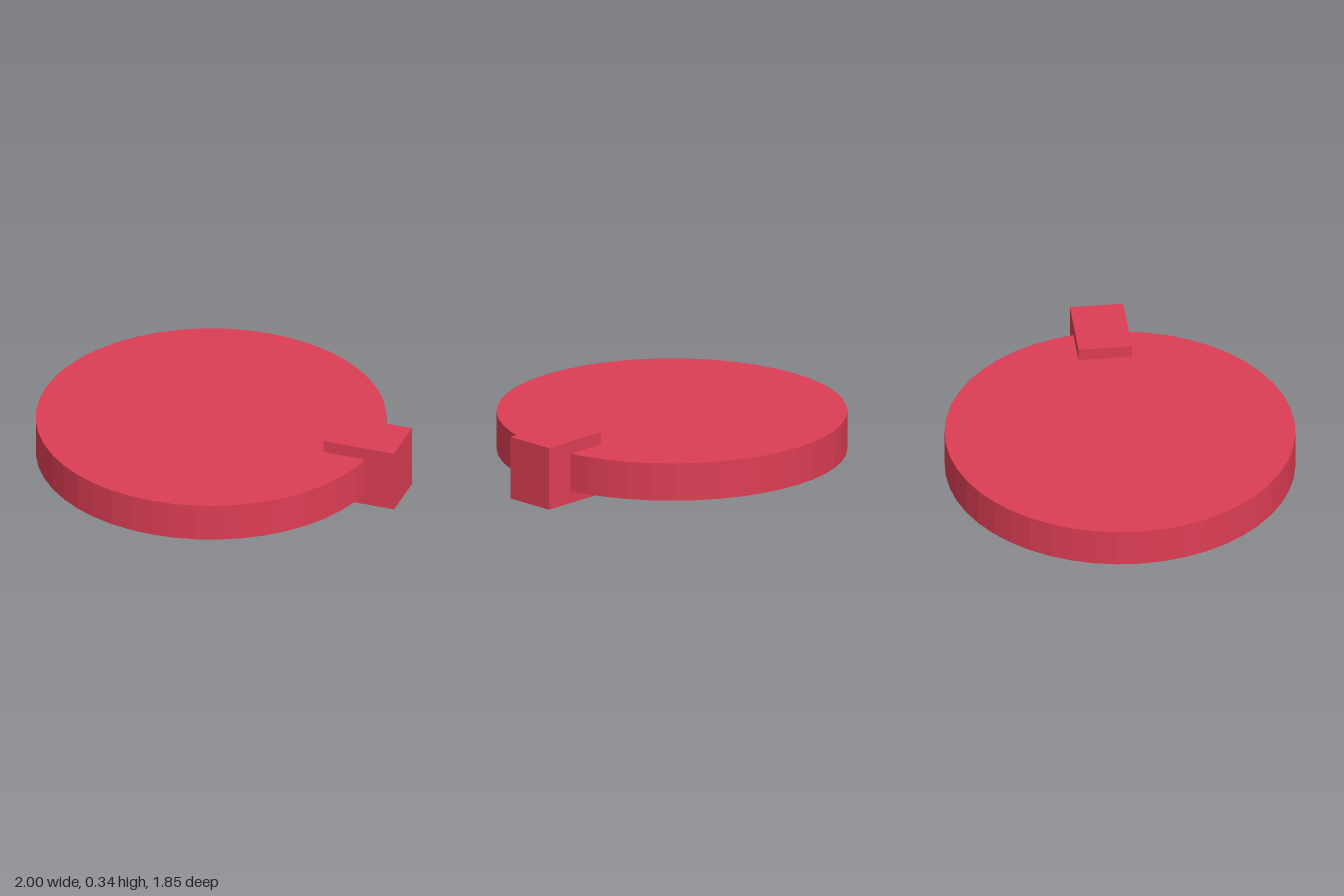
import * as THREE from 'three';

export function createModel() {
  const model = new THREE.Group();
  const material = new THREE.MeshStandardMaterial({ color: 0xdc3d53, flatShading: true });

  const add = (name, geometry, x, y, z) => {
    const mesh = new THREE.Mesh(geometry, material);
    mesh.name = name;
    mesh.position.set(x, y, z);
    model.add(mesh);
  };

  // Flat round disc, 48 sides
  const radius = 0.925;
  add('disc', new THREE.CylinderGeometry(radius, radius, 0.206, 48), -1 + radius, 0.17, 0);

  // Block gripping the rim on the left side
  add('rimBlock', new THREE.BoxGeometry(0.395, 0.34, 0.283), 0.8025, 0.17, 0);

  return model;
}
